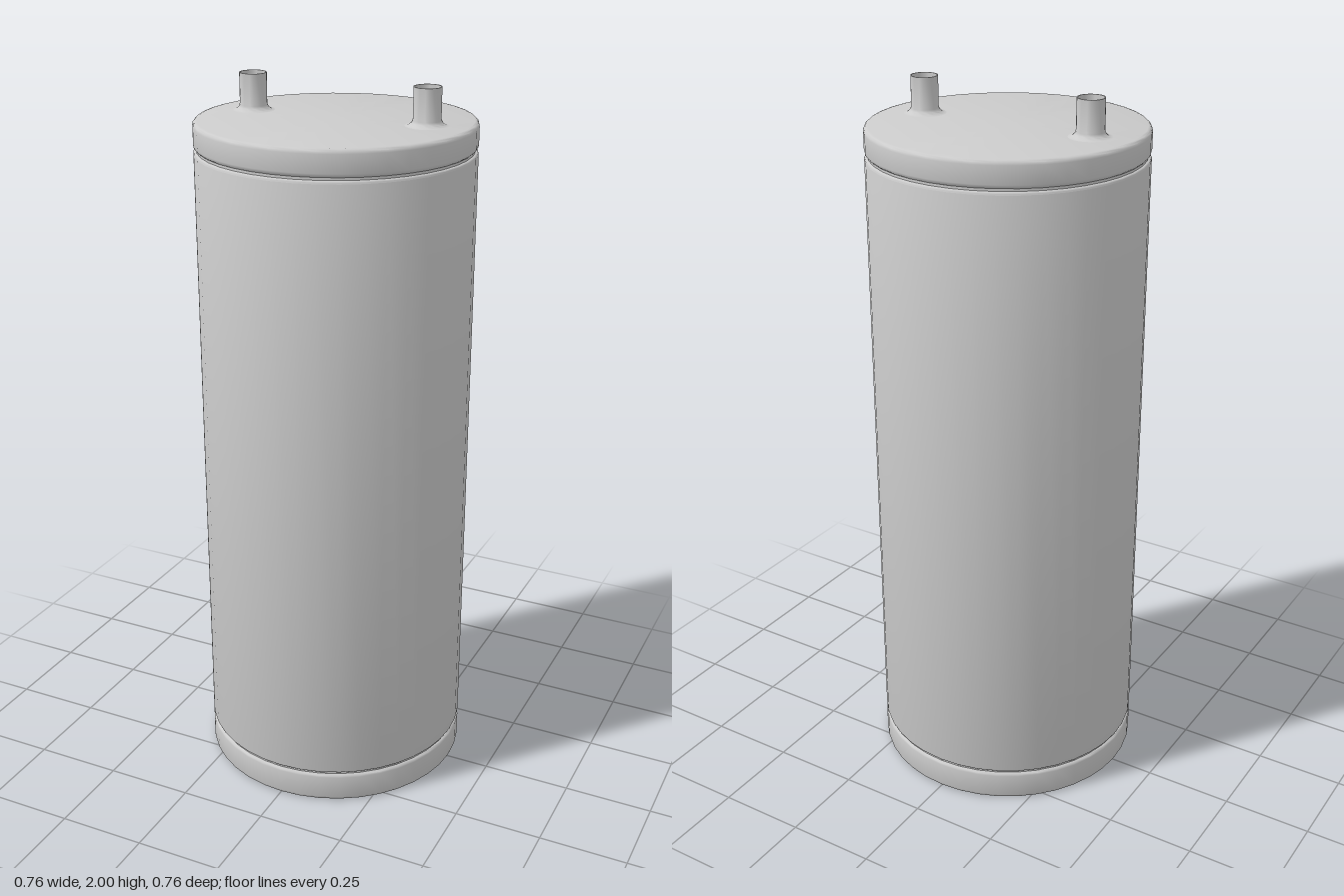
import * as THREE from 'three';
import { toCreasedNormals } from 'three/addons/utils/BufferGeometryUtils.js';

const material = new THREE.MeshStandardMaterial({ color: 0xcccccc });
const openMaterial = new THREE.MeshStandardMaterial({ color: 0xcccccc, side: THREE.DoubleSide });

// Revolves [radius, height] points, listed from bottom to top
function turned(name, points, segments, mat = material) {
  const profile = points.map(([r, y]) => new THREE.Vector2(r, y));
  const geometry = toCreasedNormals(new THREE.LatheGeometry(profile, segments), 0.6);
  const mesh = new THREE.Mesh(geometry, mat);
  mesh.name = name;
  return mesh;
}

// Solid drum with softly rounded rims
function drum(name, y0, y1, radius, bevel) {
  const points = [[0, y0]];
  for (let i = 0; i <= 3; i++) {
    const a = (i / 3) * Math.PI / 2;
    points.push([radius - bevel + bevel * Math.sin(a), y0 + bevel - bevel * Math.cos(a)]);
  }
  for (let i = 0; i <= 3; i++) {
    const a = (i / 3) * Math.PI / 2;
    points.push([radius - bevel + bevel * Math.cos(a), y1 - bevel + bevel * Math.sin(a)]);
  }
  points.push([0, y1]);
  return turned(name, points, 40);
}

export function createModel() {
  const model = new THREE.Group();
  model.name = 'canister';

  // Caps and body, separated by narrow grooves
  model.add(
    drum('bottomCap', 0, 0.087, 0.378, 0.01),
    drum('body', 0.093, 1.822, 0.378, 0.008),
    drum('topCap', 1.828, 1.9, 0.378, 0.012),
  );
  for (const [name, y] of [['lowerGroove', 0.09], ['upperGroove', 1.825]]) {
    const groove = new THREE.Mesh(new THREE.CylinderGeometry(0.37, 0.37, 0.03, 40), material);
    groove.name = name;
    groove.position.y = y;
    model.add(groove);
  }

  // Two open pipes with a flared weld at the foot
  const pipeProfile = [];
  for (let i = 0; i <= 5; i++) {
    const a = (i / 5) * Math.PI / 2;
    pipeProfile.push([0.058 - 0.021 * Math.sin(a), 1.92 - 0.02 * Math.cos(a)]);
  }
  pipeProfile.push([0.037, 2], [0.034, 2], [0.034, 1.9]);
  for (const side of [1, -1]) {
    const pipe = turned(side > 0 ? 'leftPipe' : 'rightPipe', pipeProfile, 24, openMaterial);
    pipe.position.set(side * 0.253, 0, -0.014);
    model.add(pipe);
  }
  return model;
}
